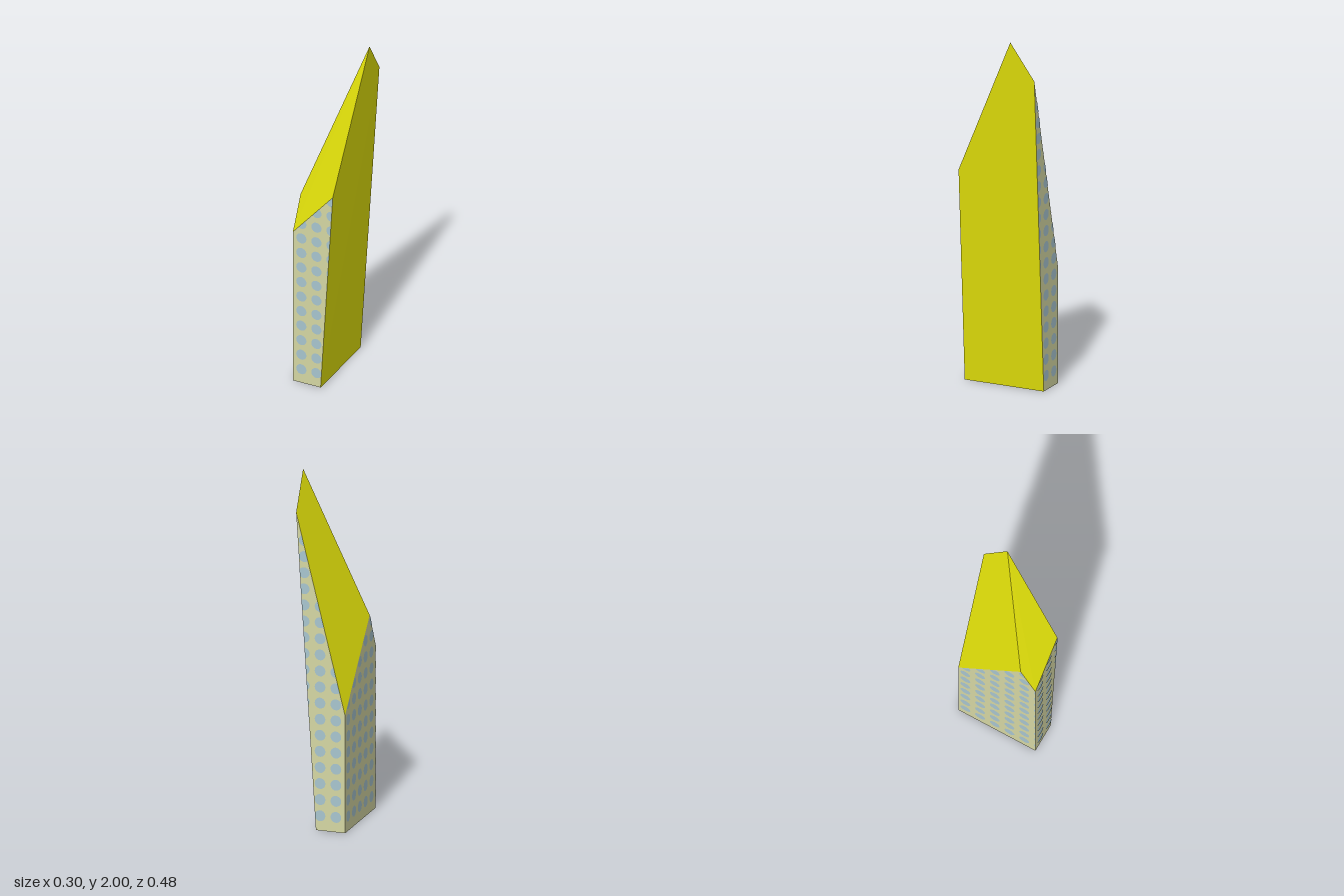
import * as THREE from 'three';

const yellow = new THREE.MeshStandardMaterial({ color: 0xe0df0a });
yellow.name = 'yellow';
const cream = new THREE.MeshStandardMaterial({ color: 0xd6d8a4 });
cream.name = 'cream';
const blue = new THREE.MeshStandardMaterial({ color: 0xa9c6d0 });
blue.name = 'dustyBlue';

// Flat mesh made of convex polygons, each listed counter-clockwise from outside
function polygons(name, material, list) {
  const positions = [];
  for (const pts of list) {
    for (let i = 1; i < pts.length - 1; i++) positions.push(...pts[0], ...pts[i], ...pts[i + 1]);
  }
  const geometry = new THREE.BufferGeometry();
  geometry.setAttribute('position', new THREE.Float32BufferAttribute(positions, 3));
  geometry.computeVertexNormals();
  const mesh = new THREE.Mesh(geometry, material);
  mesh.name = name;
  return mesh;
}

// Trim a 2D polygon to the inside of a convex counter-clockwise outline
function clip(poly, outline) {
  outline.forEach((a, k) => {
    const b = outline[(k + 1) % outline.length];
    const side = (p) => (b[0] - a[0]) * (p[1] - a[1]) - (b[1] - a[1]) * (p[0] - a[0]);
    const out = [];
    poly.forEach((p, i) => {
      const q = poly[(i + 1) % poly.length];
      const sp = side(p), sq = side(q);
      if (sp >= 0) out.push(p);
      if (sp * sq < 0) {
        const t = sp / (sp - sq);
        out.push([p[0] + t * (q[0] - p[0]), p[1] + t * (q[1] - p[1])]);
      }
    });
    poly = out;
  });
  return poly;
}

// Regular grid of round dots, trimmed at the edges of the wall
const STEP = 0.0915, RADIUS = 0.031;
function dots(name, outline, phase, place) {
  const list = [];
  for (let i = -6; i <= 6; i++) {
    for (let j = 0; j < 22; j++) {
      const circle = [];
      for (let k = 0; k < 20; k++) {
        const a = (k / 20) * Math.PI * 2;
        circle.push([phase + i * STEP + RADIUS * Math.cos(a), 0.085 + j * STEP + RADIUS * Math.sin(a)]);
      }
      const poly = clip(circle, outline);
      if (poly.length > 2) list.push(poly.map(place));
    }
  }
  return polygons(name, blue, list);
}

export function createModel() {
  const group = new THREE.Group();
  group.name = 'slantedTower';

  // Corners of the leaning, obliquely cut block
  const L = -0.147, F = 0.24, B = -0.24, SKIN = 0.002;
  const baseFL = [L, 0, F], baseFR = [0.021, 0, F];
  const baseBL = [L, 0, B], baseBR = [0.021, 0, B];
  const topFL = [L, 0.935, F], topFR = [0.095, 1.214, F];
  const topBL = [L, 0.67, B], topBR = [0.135, 1.795, B];
  const ridge = [L, 1.125, 0.148], apex = [0.146, 2, -0.1];

  // Plain walls
  const front = [baseFL, baseFR, topFR, topFL];
  const back = [baseBR, baseBL, topBL, topBR];
  const side = [baseBL, baseFL, topFL, ridge, topBL];
  group.add(
    polygons('frontWall', cream, [front]),
    polygons('backWall', cream, [back]),
    polygons('dottedSideWall', cream, [side]),
    polygons('base', cream, [[baseFL, baseBL, baseBR, baseFR]]),
    polygons('leaningSideWall', yellow, [[baseFR, baseBR, topBR, apex, topFR]]),
    polygons('frontRoof', yellow, [[topFL, topFR, apex, ridge]]),
    polygons('backRoof', yellow, [[ridge, apex, topBR, topBL]])
  );

  // Dot pattern on the three cream walls
  group.add(
    dots('frontDots', front.map((p) => [p[0], p[1]]), -0.095, ([u, v]) => [u, v, F + SKIN]),
    dots('backDots', back.map((p) => [-p[0], p[1]]), 0.095, ([u, v]) => [-u, v, B - SKIN]),
    dots('sideDots', side.map((p) => [p[2], p[1]]), -0.195, ([u, v]) => [L - SKIN, v, u])
  );
  return group;
}
